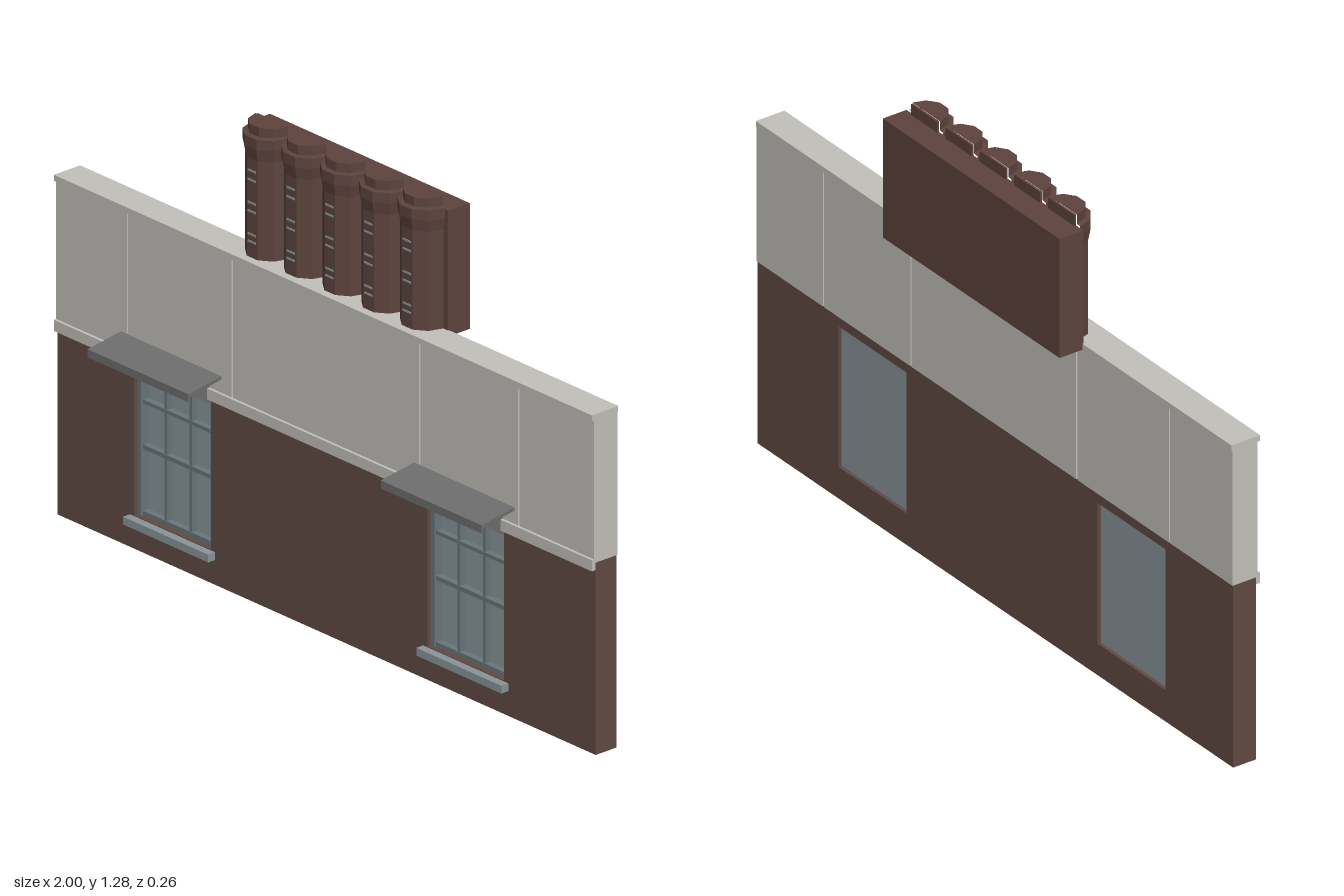
import * as THREE from 'three';

const mat = (name, color, flatShading = false) => {
  const m = new THREE.MeshStandardMaterial({ color, flatShading });
  m.name = name;
  return m;
};

export function createModel() {
  const brick = mat('brick', 0x624a44);
  const chimneyBrick = mat('chimney brick', 0x5e433d, true);
  const concrete = mat('concrete', 0xc3c1bb);
  const glass = mat('blue grey', 0x88959a);
  const frame = mat('frame grey', 0x68767a);
  const metal = mat('canopy metal', 0x6e6e6e);
  metal.side = THREE.DoubleSide;

  const root = new THREE.Group();
  root.name = 'facade';

  // Box given by its limits on each axis
  const box = (parent, name, material, x0, x1, y0, y1, z0, z1) => {
    const m = new THREE.Mesh(new THREE.BoxGeometry(x1 - x0, y1 - y0, z1 - z0), material);
    m.position.set((x0 + x1) / 2, (y0 + y1) / 2, (z0 + z1) / 2);
    m.name = name;
    parent.add(m);
    return m;
  };

  const windowXs = [-0.573, 0.517];
  const halfW = 0.143, sillY = 0.09, headY = 0.492;

  // Brick wall with window openings
  const wall = new THREE.Shape([[-1, 0], [1, 0], [1, 0.52], [-1, 0.52]].map(p => new THREE.Vector2(...p)));
  for (const x of windowXs) {
    wall.holes.push(new THREE.Path([
      [x - halfW, sillY], [x - halfW, headY], [x + halfW, headY], [x + halfW, sillY],
    ].map(p => new THREE.Vector2(...p))));
  }
  const wallMesh = new THREE.Mesh(new THREE.ExtrudeGeometry(wall, { depth: 0.07, bevelEnabled: false }), brick);
  wallMesh.position.z = -0.055;
  wallMesh.name = 'brickWall';
  root.add(wallMesh);

  // Upper concrete panels, with narrow joints over a recessed core
  const joints = [-1, -0.735, -0.345, 0.352, 0.72, 1];
  const gap = 0.0025;
  box(root, 'panelCore', concrete, -0.998, 0.998, 0.522, 0.906, -0.052, 0.015);
  for (let i = 0; i < joints.length - 1; i++) {
    const a = joints[i] + (i > 0 ? gap : 0);
    const b = joints[i + 1] - (i < joints.length - 2 ? gap : 0);
    box(root, 'concretePanel', concrete, a, b, 0.52, 0.907, -0.057, 0.02);
  }
  box(root, 'coping', concrete, -1, 1, 0.906, 0.922, -0.06, 0.028);
  box(root, 'bandCourse', concrete, -1, 1, 0.5, 0.53, 0.01, 0.028);

  // Window with glazing bars, sill and canopy, built around x = 0
  const addWindow = (x) => {
    const g = new THREE.Group();
    g.name = 'window';
    g.position.x = x;
    root.add(g);
    box(g, 'glass', glass, -halfW, halfW, sillY, headY, -0.045, -0.02);
    for (const s of [-1, 1]) {
      const c = s * (halfW - 0.007);
      box(g, 'frameSide', frame, c - 0.007, c + 0.007, sillY, headY, -0.022, 0.004);
      box(g, 'glazingBar', frame, s * 0.047 - 0.005, s * 0.047 + 0.005, sillY, headY, -0.022, -0.004);
    }
    for (const [y, h] of [[sillY + 0.006, 0.012], [0.275, 0.012], [0.398, 0.01], [headY - 0.006, 0.012]]) {
      box(g, 'frameRail', frame, -halfW, halfW, y - h / 2, y + h / 2, -0.022, -0.002);
    }
    box(g, 'sill', glass, -0.158, 0.158, 0.067, 0.088, 0, 0.038);

    // Sloping canopy with front lip, drawn in section (z, y)
    const section = (name, pts, width, cx) => {
      const shape = new THREE.Shape(pts.map(p => new THREE.Vector2(...p)));
      const geo = new THREE.ExtrudeGeometry(shape, { depth: width, bevelEnabled: false });
      geo.translate(0, 0, -width / 2).rotateY(-Math.PI / 2);
      const m = new THREE.Mesh(geo, metal);
      m.position.x = cx;
      m.name = name;
      g.add(m);
    };
    section('canopy', [
      [0.018, 0.566], [0.124, 0.549], [0.124, 0.536], [0.13, 0.536], [0.13, 0.558], [0.018, 0.575],
    ], 0.374, 0);
    for (const s of [-1, 1]) {
      section('canopyBracket', [[0.015, 0.488], [0.025, 0.488], [0.122, 0.551], [0.025, 0.532], [0.015, 0.532]],
        0.008, s * 0.139);
    }
  };
  windowXs.forEach(addWindow);

  // Chimney stack behind the coping
  box(root, 'chimneyBack', chimneyBrick, -0.373, 0.37, 0.905, 1.245, -0.13, -0.057);

  // Five faceted half-round flues with collars and step plates
  const k = 1 / Math.cos(Math.PI / 10);
  const profile = [
    [0.062, 0.92], [0.062, 1.19], [0.068, 1.222], [0.068, 1.25], [0.055, 1.252], [0.055, 1.277], [0, 1.277],
  ].map(([r, y]) => new THREE.Vector2(r * k, y));
  const flueGeo = new THREE.LatheGeometry(profile, 5, -Math.PI / 2, Math.PI);
  for (let i = -2; i <= 2; i++) {
    const x = i * 0.144;
    const flue = new THREE.Mesh(flueGeo, chimneyBrick);
    flue.position.set(x, 0, -0.057);
    flue.name = 'flue';
    root.add(flue);
    box(root, 'flueTopBack', chimneyBrick, x - 0.055, x + 0.055, 1.24, 1.276, -0.063, -0.057);
    for (const y of [1.157, 1.132, 1.07, 1.047, 0.985, 0.965]) {
      box(root, 'stepPlate', glass, x - 0.015, x + 0.015, y - 0.0025, y + 0.0025, 0.003, 0.007);
    }
  }
  return root;
}
